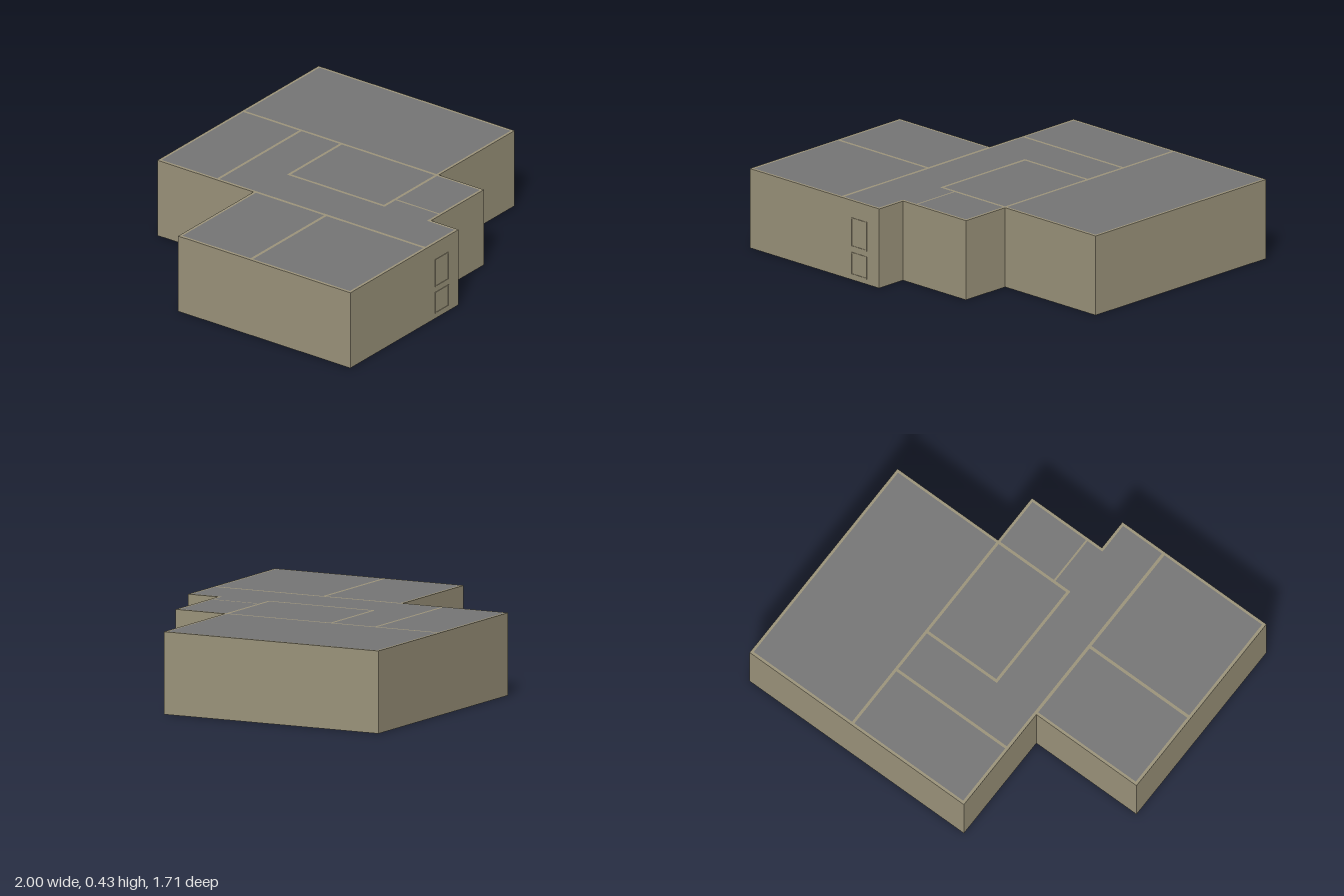
import * as THREE from 'three';

const H = 0.425; // wall height
const SLAB = 0.012; // floor and roof thickness

// Rectangle as plan corners [x, z]
const rect = (x0, z0, x1, z1) => [[x0, z0], [x1, z0], [x1, z1], [x0, z1]];

// Outer outline of the building in plan
const OUTLINE = [
  [-0.363, -0.853], [1, -0.853], [1, 0.391], [0.36, 0.391], [0.36, 0.676],
  [-0.085, 0.676], [-0.085, 0.85], [-1, 0.85], [-1, -0.243], [-0.363, -0.243],
];

// Clear inside of each room in plan
const ROOMS = {
  backLeftRoom: rect(-0.984, -0.228, -0.363, 0.205),
  frontLeftRoom: rect(-0.984, 0.221, -0.363, 0.835),
  backRoom: rect(-0.347, -0.838, 0.345, -0.485),
  sideRoom: rect(0.36, -0.838, 0.985, 0.376),
  innerRoom: rect(-0.085, -0.213, 0.345, 0.376),
  porchRoom: rect(0.005, 0.391, 0.345, 0.661),
  hall: [
    [-0.347, -0.47], [0.345, -0.47], [0.345, -0.228], [-0.1, -0.228], [-0.1, 0.391],
    [-0.005, 0.391], [-0.005, 0.661], [-0.1, 0.661], [-0.1, 0.835], [-0.347, 0.835],
  ],
};

const plan = (pts) => pts.map(([x, z]) => new THREE.Vector2(x, -z));

// Upright prism from a plan outline, with optional holes
function prism(pts, y, height, material, name, holes = []) {
  const shape = new THREE.Shape(plan(pts));
  for (const h of holes) shape.holes.push(new THREE.Path(plan(h)));
  const geo = new THREE.ExtrudeGeometry(shape, { depth: height, bevelEnabled: false });
  geo.rotateX(-Math.PI / 2).translate(0, y, 0);
  const mesh = new THREE.Mesh(geo, material);
  mesh.name = name;
  return mesh;
}

// Thin moulding around a door panel on the front wall
function moulding(x0, y0, x1, y1, material, name) {
  const w = 0.006;
  const toVec = (a) => a.map(([x, y]) => new THREE.Vector2(x, y));
  const shape = new THREE.Shape(toVec(rect(x0, y0, x1, y1)));
  shape.holes.push(new THREE.Path(toVec(rect(x0 + w, y0 + w, x1 - w, y1 - w))));
  const geo = new THREE.ExtrudeGeometry(shape, { depth: 0.003, bevelEnabled: false });
  const mesh = new THREE.Mesh(geo.translate(0, 0, 0.85), material);
  mesh.name = name;
  return mesh;
}

export function createModel() {
  const make = (name, color) => {
    const m = new THREE.MeshStandardMaterial({ color });
    m.name = name;
    return m;
  };
  const wall = make('khaki wall', 0x9c947b);
  const roof = make('grey roof', 0x767676);
  const floor = make('dark brown floor', 0x33261e);

  const group = new THREE.Group();
  group.name = 'house';

  // All walls in one piece, hollow at every room
  group.add(prism(OUTLINE, 0, H, wall, 'walls', Object.values(ROOMS)));

  // Floor and roof panel of each room
  for (const [name, pts] of Object.entries(ROOMS)) {
    group.add(prism(pts, 0, SLAB, floor, name + 'Floor'));
    group.add(prism(pts, H - SLAB, SLAB, roof, name + 'Roof'));
  }

  // Front door panels
  group.add(moulding(-0.283, 0.027, -0.17, 0.148, wall, 'lowerDoorPanel'));
  group.add(moulding(-0.283, 0.177, -0.17, 0.333, wall, 'upperDoorPanel'));
  return group;
}
